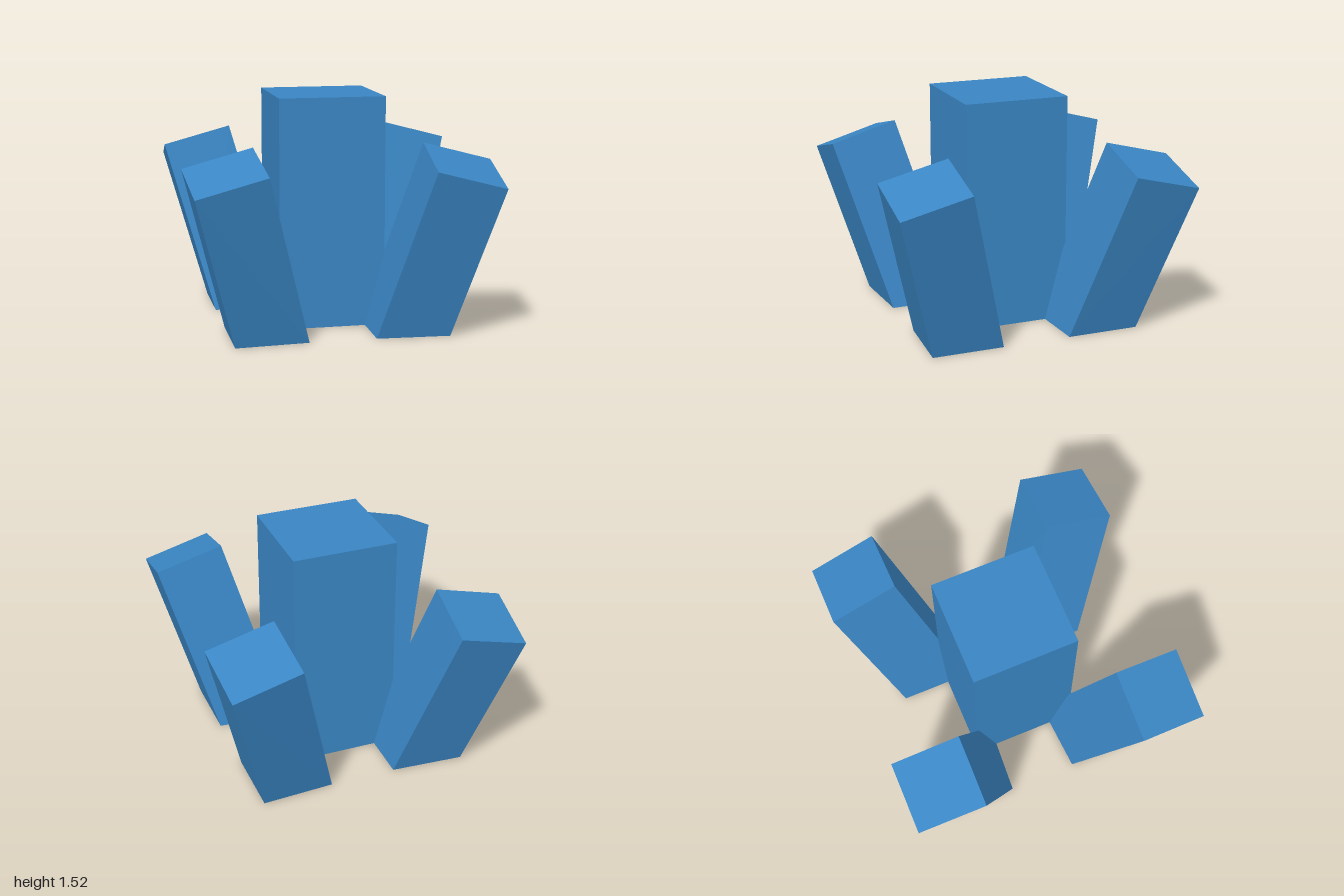
import * as THREE from 'three';
import { ConvexGeometry } from 'three/addons/geometries/ConvexGeometry.js';

export function createModel() {
  const model = new THREE.Group();
  model.name = 'crystalCluster';
  const blue = new THREE.MeshStandardMaterial({ color: 0x3a86c4 });
  blue.name = 'crystal blue';

  // Tall upright crystal in the middle
  const core = new THREE.Mesh(new THREE.BoxGeometry(0.7, 1.52, 0.7), blue);
  core.name = 'centreCrystal';
  core.position.y = 0.76;
  model.add(core);

  // Leaning square crystal, cut flat at the ground, mirrored to each corner
  const corners = [
    [0.22, 0, 0.2], [0.7, 0, 0.23], [0.7, 0, 0.71], [0.22, 0, 0.68],
    [0.55, 1.24, 0.54], [1, 1.12, 0.54], [0.97, 1, 0.99], [0.52, 1.12, 0.99],
  ];
  for (const [sz, end] of [[1, 'front'], [-1, 'back']]) {
    for (const [sx, side] of [[1, 'Left'], [-1, 'Right']]) {
      const points = corners.map(([x, y, z]) => new THREE.Vector3(sx * x, y, sz * z));
      const crystal = new THREE.Mesh(new ConvexGeometry(points), blue);
      crystal.name = `${end}${side}Crystal`;
      model.add(crystal);
    }
  }
  return model;
}
